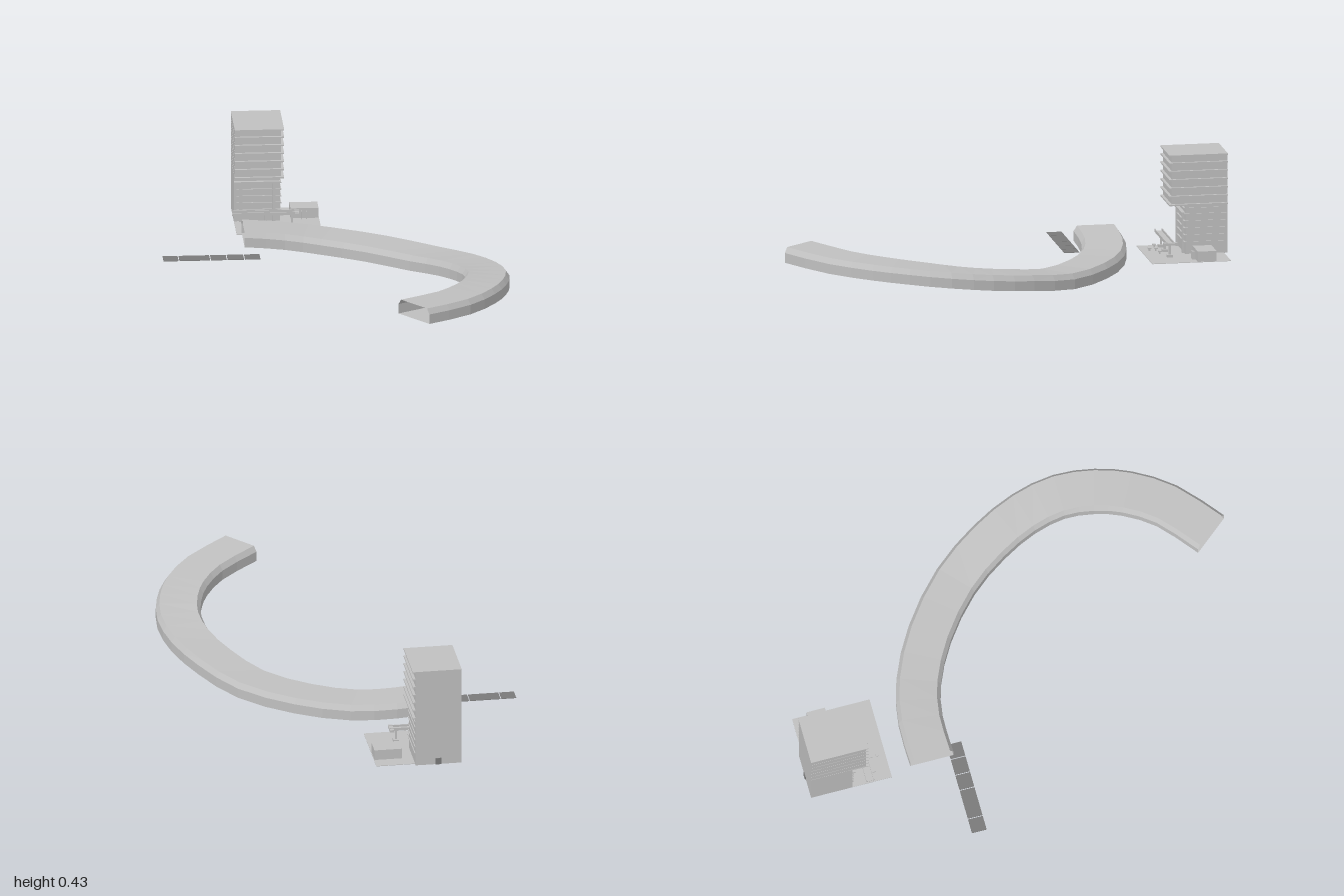
import * as THREE from 'three';

const grey = new THREE.MeshStandardMaterial({ color: 0xc0c0c0, flatShading: true, side: THREE.DoubleSide });
grey.name = 'light grey';
const dark = new THREE.MeshStandardMaterial({ color: 0x7a7a7a, side: THREE.DoubleSide });
dark.name = 'dark grey';

// Box given by its limits on each axis
function box(parent, name, x0, x1, y0, y1, z0, z1, mat = grey) {
  const m = new THREE.Mesh(new THREE.BoxGeometry(x1 - x0, y1 - y0, z1 - z0), mat);
  m.position.set((x0 + x1) / 2, (y0 + y1) / 2, (z0 + z1) / 2);
  m.name = name;
  parent.add(m);
  return m;
}

// Hollow chamfered tube swept along a rising curve, open at both ends
function rampGeometry() {
  const path = new THREE.CatmullRomCurve3([
    [-0.36, 0.038, -0.465], [-0.18, 0.022, -0.465], [-0.01, 0.008, -0.428],
    [0.19, 0.005, -0.325], [0.385, 0.012, -0.16], [0.51, 0.042, 0.02],
    [0.585, 0.068, 0.19], [0.612, 0.092, 0.35], [0.59, 0.11, 0.5],
    [0.54, 0.122, 0.63], [0.44, 0.133, 0.775], [0.265, 0.147, 0.92],
  ].map(p => new THREE.Vector3(...p)));
  const section = [[-0.094, 0], [-0.094, 0.042], [-0.079, 0.065], [0.079, 0.065], [0.094, 0.042], [0.094, 0]];
  const steps = 22, n = section.length, pos = [], index = [];
  for (let i = 0; i <= steps; i++) {
    const p = path.getPoint(i / steps), t = path.getTangent(i / steps);
    const len = Math.hypot(t.x, t.z);
    for (const [s, h] of section) pos.push(p.x - t.z / len * s, p.y + h, p.z + t.x / len * s);
  }
  for (let i = 0; i < steps; i++) {
    for (let j = 0; j < n; j++) {
      const k = (j + 1) % n;
      const a = i * n + j, b = a + n, d = i * n + k, c = d + n;
      index.push(a, d, b, d, c, b);
    }
  }
  const g = new THREE.BufferGeometry();
  g.setAttribute('position', new THREE.Float32BufferAttribute(pos, 3));
  g.setIndex(index);
  const flat = g.toNonIndexed();
  flat.computeVertexNormals();
  return flat;
}

function tower() {
  const g = new THREE.Group();
  g.name = 'tower';
  // Overhanging upper floors above a recessed base
  box(g, 'upperFloors', -0.375, -0.18, 0.215, 0.428, -0.995, -0.757);
  box(g, 'base', -0.375, -0.18, 0, 0.215, -0.995, -0.815);
  // Floor slabs projecting at the front and left
  for (let i = 0; i < 7; i++) {
    const y = 0.212 + i * 0.0358;
    const top = Math.min(y + 0.006, 0.43);
    box(g, 'floorSlab', -0.376, -0.168, top - 0.006, top, -0.995, -0.745);
  }
  // Ledges across the recessed base
  for (const y of [0.05, 0.08, 0.11, 0.14, 0.17, 0.195]) {
    box(g, 'baseLedge', -0.365, -0.176, y, y + 0.005, -0.99, -0.808);
  }
  // Columns carrying the overhang
  for (const x of [-0.347, -0.207]) {
    box(g, 'column', x - 0.007, x + 0.007, 0, 0.175, -0.83, -0.805);
  }
  box(g, 'columnBeam', -0.375, -0.18, 0.172, 0.18, -0.835, -0.8);
  box(g, 'backDoor', -0.29, -0.265, 0, 0.028, -0.999, -0.994, dark);
  return g;
}

function forecourt() {
  const g = new THREE.Group();
  g.name = 'forecourt';
  box(g, 'groundPlate', -0.375, -0.015, 0, 0.002, -0.98, -0.643);
  // Small outbuilding with a front opening
  box(g, 'annex', -0.135, -0.017, 0, 0.046, -0.918, -0.838);
  for (const x of [-0.09, -0.07]) box(g, 'annexRail', x, x + 0.003, 0, 0.035, -0.838, -0.822);
  // Long canopy: flat deck with raised rims, turned at its end
  box(g, 'canopyDeck', -0.388, -0.11, 0.056, 0.06, -0.757, -0.722);
  for (const z of [-0.757, -0.726]) box(g, 'canopyRim', -0.388, -0.11, 0.06, 0.069, z, z + 0.004);
  box(g, 'canopyReturn', -0.125, -0.107, 0.056, 0.066, -0.77, -0.71);
  for (const x of [-0.34, -0.25, -0.14]) {
    box(g, 'canopyPost', x, x + 0.008, 0, 0.056, -0.744, -0.736);
    box(g, 'postFoot', x - 0.008, x + 0.016, 0.002, 0.012, -0.752, -0.728);
  }
  // Low seats in front
  for (const [x, z] of [[-0.33, -0.71], [-0.265, -0.705], [-0.265, -0.678], [-0.2, -0.71]]) {
    box(g, 'seat', x - 0.008, x + 0.008, 0.011, 0.016, z - 0.007, z + 0.007);
    box(g, 'seatLeg', x - 0.003, x + 0.003, 0.002, 0.011, z - 0.003, z + 0.003);
  }
  return g;
}

export function createModel() {
  const model = new THREE.Group();
  model.name = 'towerAndRamp';

  const ramp = new THREE.Mesh(rampGeometry(), grey);
  ramp.name = 'ramp';
  model.add(ramp, tower(), forecourt());

  // Row of paving strips
  const joints = [-0.707, -0.64, -0.507, -0.437, -0.364, -0.295];
  for (let i = 0; i < joints.length - 1; i++) {
    box(model, 'pavingStrip', joints[i] + 0.002, joints[i + 1] - 0.002, 0, 0.002, -0.384, -0.32, dark);
  }
  return model;
}
